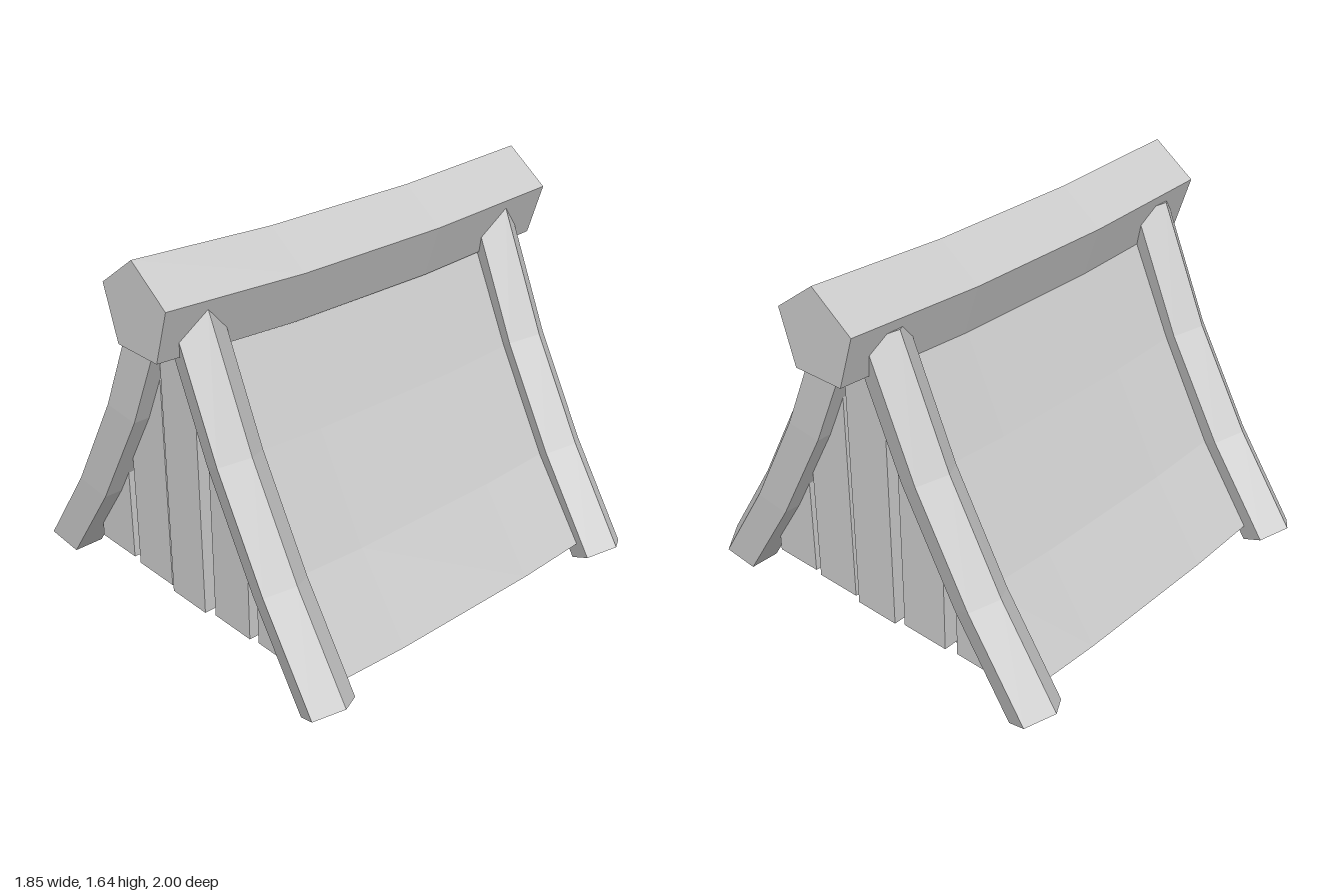
import * as THREE from 'three';

const material = new THREE.MeshStandardMaterial({ color: 0xcccccc, flatShading: true });
const Z0 = 0.012; // small offset of the hut body along z

// Sag of the ridge and roof towards the middle
const sag = z => -0.03 * Math.min(1, (1 - Math.abs(z)) / 0.64);

// Joins rings of equal point count (counter-clockwise seen from the far end) into a capped solid
function loft(rings) {
  const n = rings[0].length, pos = [];
  const tri = (a, b, c) => pos.push(...a, ...b, ...c);
  for (let i = 0; i < rings.length - 1; i++) {
    for (let j = 0; j < n; j++) {
      const k = (j + 1) % n, A = rings[i], B = rings[i + 1];
      tri(A[j], A[k], B[k]);
      tri(A[j], B[k], B[j]);
    }
  }
  // caps are fanned from their centre
  const mid = r => [0, 1, 2].map(c => r.reduce((s, p) => s + p[c], 0) / n);
  const first = rings[0], last = rings[rings.length - 1];
  for (let j = 0; j < n; j++) {
    const k = (j + 1) % n;
    tri(mid(first), first[k], first[j]);
    tri(mid(last), last[j], last[k]);
  }
  const g = new THREE.BufferGeometry();
  g.setAttribute('position', new THREE.Float32BufferAttribute(pos, 3));
  g.computeVertexNormals();
  return g;
}

function mesh(name, geometry) {
  const m = new THREE.Mesh(geometry, material);
  m.name = name;
  return m;
}

// Regular pentagon as [out, side] pairs with one corner pointing out
const pentagon = r => Array.from({ length: 5 }, (_, i) => {
  const a = i * Math.PI * 2 / 5;
  return [r * Math.cos(a), r * Math.sin(a)];
});

// Half profile of the roof, from eave to ridge
const roof = [[0.77, 0.12], [0.53, 0.465], [0.295, 0.9], [0.085, 1.34]];
const roofX = 0.015;

// Height of the roof above a given x
function roofHeight(x) {
  const d = Math.abs(x - roofX);
  for (let i = 0; i < roof.length - 1; i++) {
    const [xa, ya] = roof[i], [xb, yb] = roof[i + 1];
    if (d <= xa && d >= xb) return ya + (yb - ya) * (xa - d) / (xa - xb);
  }
  return roof[roof.length - 1][1];
}

function ridgeBeam() {
  return mesh('ridgeBeam', loft([-1, -0.36, 0.36, 1].map(z =>
    pentagon(0.2).map(([o, s]) => [0.025 - s, 1.45 + o + sag(z), z]))));
}

function roofBody() {
  const outline = [...roof.map(([x, y]) => [x + roofX, y]),
    ...[...roof].reverse().map(([x, y]) => [roofX - x, y])];
  return mesh('roofBody', loft([-0.72, -0.36, 0.36, 0.72].map(z =>
    outline.map(([x, y]) => [x, y + sag(z), z + Z0]))));
}

// Bent pentagonal rafter; side is +1 for left, -1 for right
function rafter(side, z) {
  const path = [[0.828, 0.057, 31], [0.56, 0.463, 29.5], [0.313, 0.905, 26], [0.085, 1.42, 24]];
  const rings = path.map(([x, y, deg]) => {
    const a = THREE.MathUtils.degToRad(deg);
    const lift = side < 0 && y < 0.1 ? 0.015 : 0;
    return pentagon(0.113).map(([o, s]) => [
      side * (x + o * Math.cos(a)) + 0.013 * Math.min(y, 1),
      y + lift + o * Math.sin(a),
      z - side * s,
    ]);
  });
  return mesh(side > 0 ? 'leftRafter' : 'rightRafter', loft(rings));
}

// Upright board whose top follows the roof line
function plank(x0, x1, depth, front) {
  const xs = [x0, x1];
  for (const [x] of roof) for (const s of [-1, 1]) {
    const b = roofX + s * x;
    if (b > x0 && b < x1) xs.push(b);
  }
  xs.sort((a, b) => b - a);
  const shape = new THREE.Shape();
  shape.moveTo(x0, 0.12);
  shape.lineTo(x1, 0.12);
  for (const x of xs) shape.lineTo(x, roofHeight(x) - 0.02);
  const g = new THREE.ExtrudeGeometry(shape, { depth: depth + 0.02, bevelEnabled: false });
  g.translate(0, 0, front ? 0.7 + Z0 : -0.72 - depth + Z0);
  return mesh('plank', g);
}

export function createModel() {
  const model = new THREE.Group();
  model.name = 'woodenRoof';
  model.add(ridgeBeam(), roofBody());

  // Rafter pairs at both gables
  for (const z of [0.807, -0.778]) {
    const pair = new THREE.Group();
    pair.name = z > 0 ? 'frontRafters' : 'backRafters';
    pair.add(rafter(1, z), rafter(-1, z));
    model.add(pair);
  }

  // Gable boards, separated by narrow gaps
  const boards = [
    [-0.64, -0.41, 0.06], [-0.355, -0.13, 0.07], [-0.095, 0.115, 0.09],
    [0.155, 0.37, 0.07], [0.41, 0.635, 0.06],
  ];
  for (const front of [true, false]) {
    const wall = new THREE.Group();
    wall.name = front ? 'frontGable' : 'backGable';
    for (const [x0, x1, depth] of boards) wall.add(plank(x0, x1, depth, front));
    model.add(wall);
  }
  return model;
}
